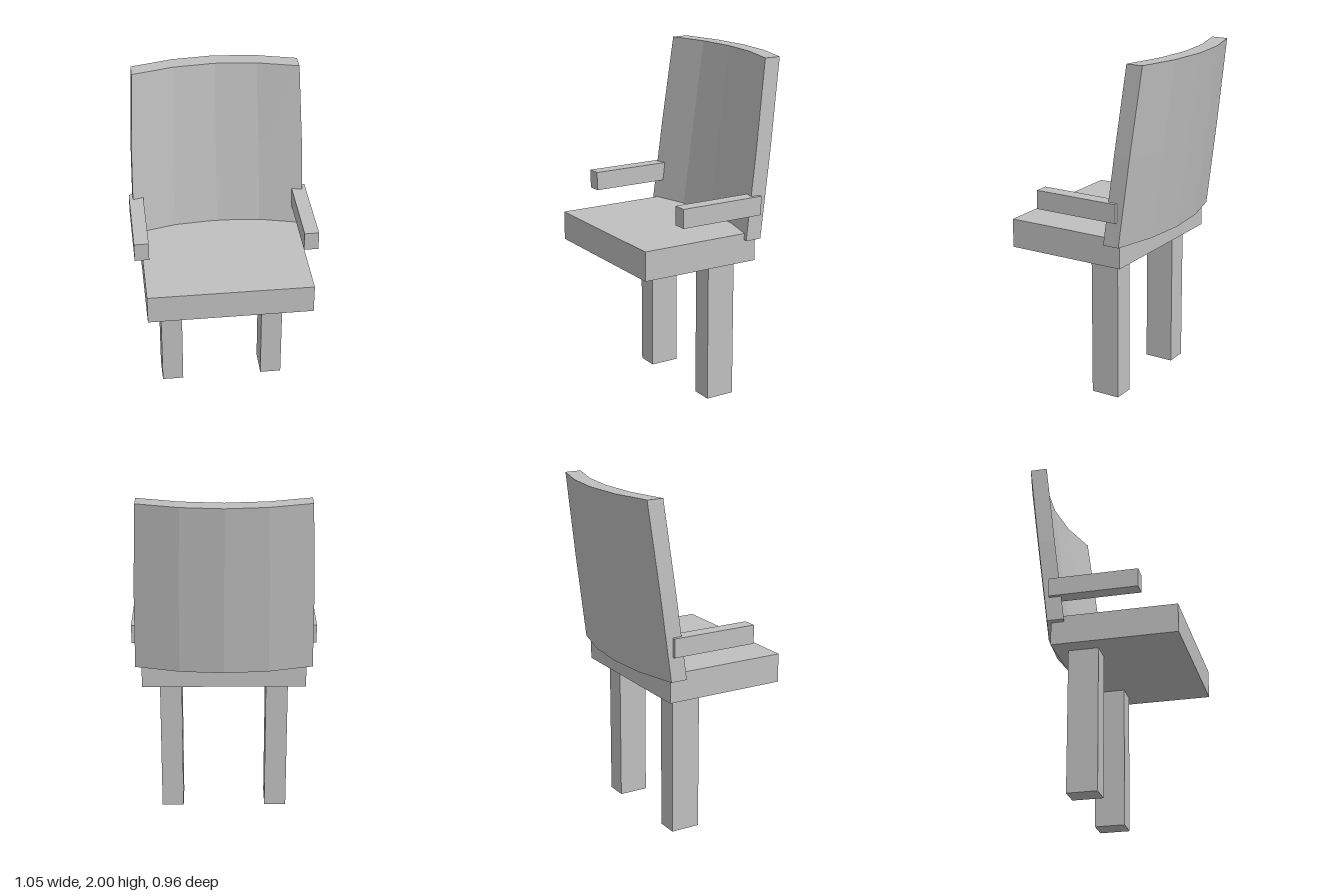
import * as THREE from 'three';

const grey = new THREE.MeshStandardMaterial({ color: 0xc0c0c0 });
grey.name = 'light grey';

// Box given by its minimum and maximum corners
function block(name, [x0, y0, z0], [x1, y1, z1]) {
  const geometry = new THREE.BoxGeometry(x1 - x0, y1 - y0, z1 - z0);
  const mesh = new THREE.Mesh(geometry, grey);
  mesh.position.set((x0 + x1) / 2, (y0 + y1) / 2, (z0 + z1) / 2);
  mesh.name = name;
  return mesh;
}

// Leaning slab, bowed backwards and narrowing towards the top
function backrest() {
  const box = new THREE.BoxGeometry(2, 1, 1, 4, 2, 1);
  const p = box.attributes.position;
  for (let i = 0; i < p.count; i++) {
    const u = p.getX(i), t = p.getY(i) + 0.5, depth = 0.5 - p.getZ(i);
    const halfWidth = 0.508 - 0.005 * t - 0.026 * t * t;
    p.setXYZ(i,
      u * halfWidth,
      0.975 + 1.025 * t,
      -0.25 - 0.132 * t + 0.085 * u * u - 0.098 * depth);
  }
  const geometry = box.toNonIndexed();
  geometry.computeVertexNormals();
  const mesh = new THREE.Mesh(geometry, grey);
  mesh.name = 'backrest';
  return mesh;
}

export function createModel() {
  const chair = new THREE.Group();
  chair.name = 'armchair';

  chair.add(block('seat', [-0.473, 0.84, -0.25], [0.473, 1.01, 0.477]));
  chair.add(backrest());

  // Armrests and legs, mirrored left and right
  for (const [side, s] of [['left', 1], ['right', -1]]) {
    const arm = block(side + 'Armrest', [0.442, 1.12, -0.253], [0.525, 1.23, 0.265]);
    const leg = block(side + 'Leg', [0.245, 0, -0.175], [0.373, 0.84, 0]);
    for (const part of [arm, leg]) {
      part.position.x *= s;
      chair.add(part);
    }
  }
  return chair;
}
